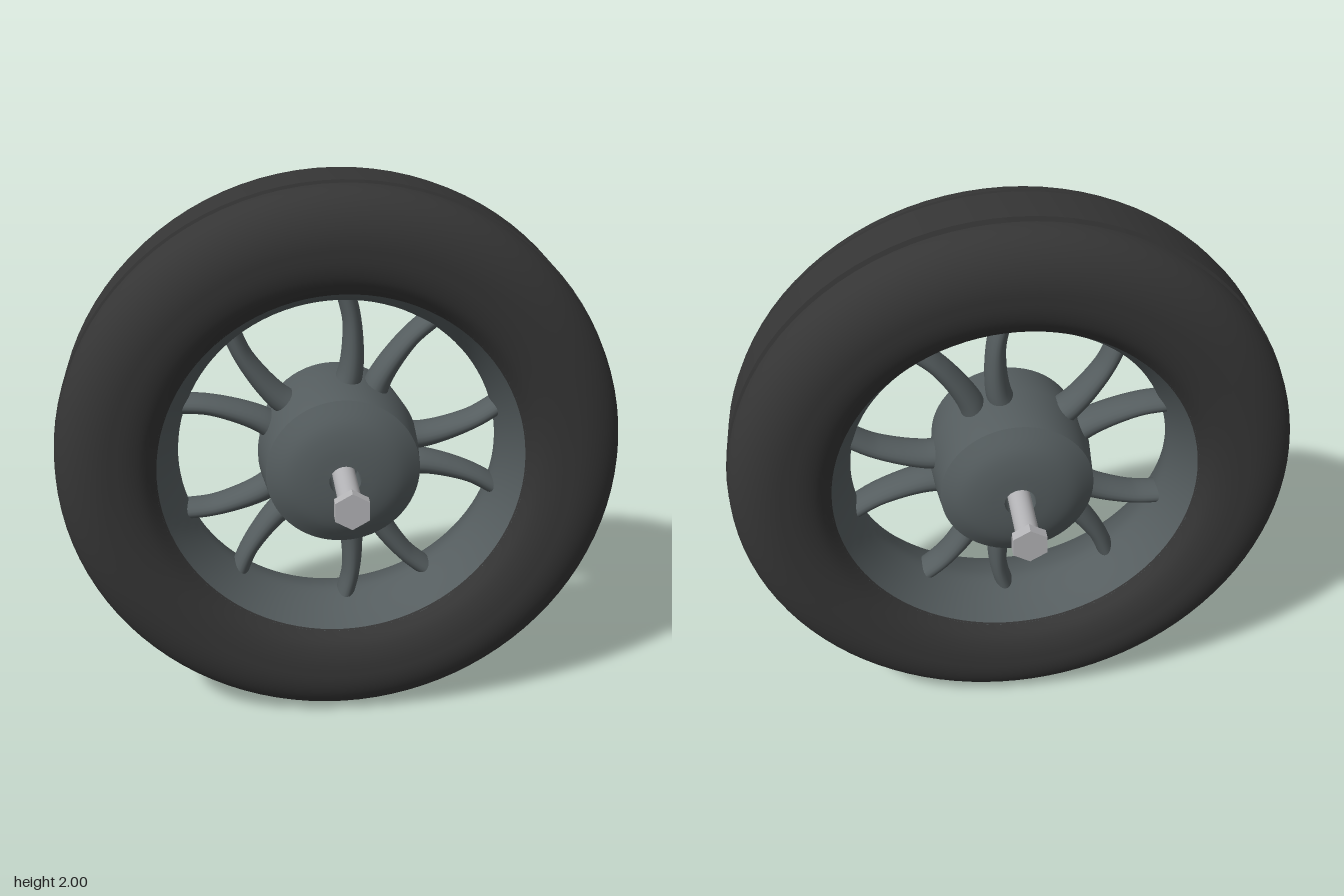
import * as THREE from 'three';
import { toCreasedNormals } from 'three/addons/utils/BufferGeometryUtils.js';
import { ParametricGeometry } from 'three/addons/geometries/ParametricGeometry.js';

const material = (name, color) => {
  const m = new THREE.MeshStandardMaterial({ color });
  m.name = name;
  return m;
};

const V2 = (r, z) => new THREE.Vector2(r, z);

// Smooth run of profile points through a few control points
const smooth = (pts, n) => new THREE.SplineCurve(pts.map(p => V2(...p))).getPoints(n);

// Turn a (radius, z) profile round the z axis
function turned(profile, crease = 0.5, segments = 96) {
  const g = new THREE.LatheGeometry(profile, segments).rotateX(Math.PI / 2);
  return toCreasedNormals(g, crease);
}

// Full profile from its front half: back half mirrored, running from -z to +z
const mirrored = half => [...half.map(p => V2(p.x, -p.y)).reverse(), ...half];

export function createModel() {
  const rubber = material('black rubber', 0x353535);
  const metal = material('grey metal', 0x555d5f);
  const steel = material('light steel', 0xb4b4b7);

  const model = new THREE.Group();
  model.name = 'wheel';
  const wheel = new THREE.Group();
  wheel.name = 'wheelAssembly';
  wheel.position.y = 1;
  model.add(wheel);

  const add = (name, geometry, mat, parent = wheel) => {
    const mesh = new THREE.Mesh(geometry, mat);
    mesh.name = name;
    parent.add(mesh);
    return mesh;
  };

  // Tyre: flat tread, groove, rounded shoulder, bulging sidewall
  const tyreHalf = [V2(1, 0.088), V2(0.983, 0.094), V2(0.983, 0.108), V2(0.995, 0.114)];
  for (let i = 1; i <= 14; i++) {
    const a = (i / 14) * Math.PI / 2;
    tyreHalf.push(V2(0.82 + 0.175 * Math.cos(a), 0.114 + 0.136 * Math.sin(a)));
  }
  tyreHalf.push(...smooth([[0.82, 0.25], [0.75, 0.245], [0.69, 0.225], [0.645, 0.185]], 12).slice(1));
  add('tyre', turned(mirrored(tyreHalf)), rubber);

  // Rim: bowl-shaped inner surface, narrowest in the middle
  const rimProfile = smooth([
    [0.65, 0.19], [0.615, 0.13], [0.588, 0.065], [0.575, 0],
    [0.588, -0.065], [0.615, -0.13], [0.65, -0.19],
  ], 24);
  add('rim', turned(rimProfile), metal);

  // Hub: barrel with domed faces and a socket for each bolt
  const dome = smooth([[0.27, 0.185], [0.2, 0.229], [0.13, 0.249], [0.055, 0.256]], 14);
  const hubHalf = [V2(0.29, 0.01), ...dome, V2(0.055, 0.15), V2(0, 0.15)];
  add('hub', turned(mirrored(hubHalf), 0.4, 64), metal);

  // Spokes: five pairs that bend apart towards the rim
  const path = new THREE.SplineCurve([
    V2(0.24, 0.05), V2(0.31, 0.054), V2(0.4, 0.076), V2(0.5, 0.115), V2(0.6, 0.178),
  ]);
  const spokeGeometry = side => new ParametricGeometry((u, v, target) => {
    const p = path.getPoint(u);
    const t = path.getTangent(u);
    const a = v * Math.PI * 2;
    const w = THREE.MathUtils.lerp(0.05, 0.033, Math.min(1, u * 1.4)) * Math.cos(a);
    const d = THREE.MathUtils.lerp(0.07, 0.06, u) * Math.sin(a);
    target.set(p.x - t.y * w, side * (p.y + t.x * w), -side * d);
  }, 20, 20);
  const spokeShapes = [spokeGeometry(1), spokeGeometry(-1)];
  for (let i = 0; i < 5; i++) {
    const pair = new THREE.Group();
    pair.name = 'spokePair';
    pair.rotation.z = i * Math.PI * 2 / 5;
    spokeShapes.forEach(g => add('spoke', g, metal, pair));
    wheel.add(pair);
  }

  // Bolts: round shaft with a hexagonal head, front and back
  const shaft = new THREE.CylinderGeometry(0.04, 0.04, 0.34, 32).rotateX(Math.PI / 2);
  const head = toCreasedNormals(new THREE.CylinderGeometry(0.066, 0.066, 0.037, 6).rotateX(Math.PI / 2), 0.5);
  for (const side of [1, -1]) {
    const bolt = new THREE.Group();
    bolt.name = side > 0 ? 'frontBolt' : 'backBolt';
    add('boltShaft', shaft, steel, bolt).position.z = side * 0.29;
    add('boltHead', head, steel, bolt).position.z = side * 0.468;
    wheel.add(bolt);
  }

  return model;
}
